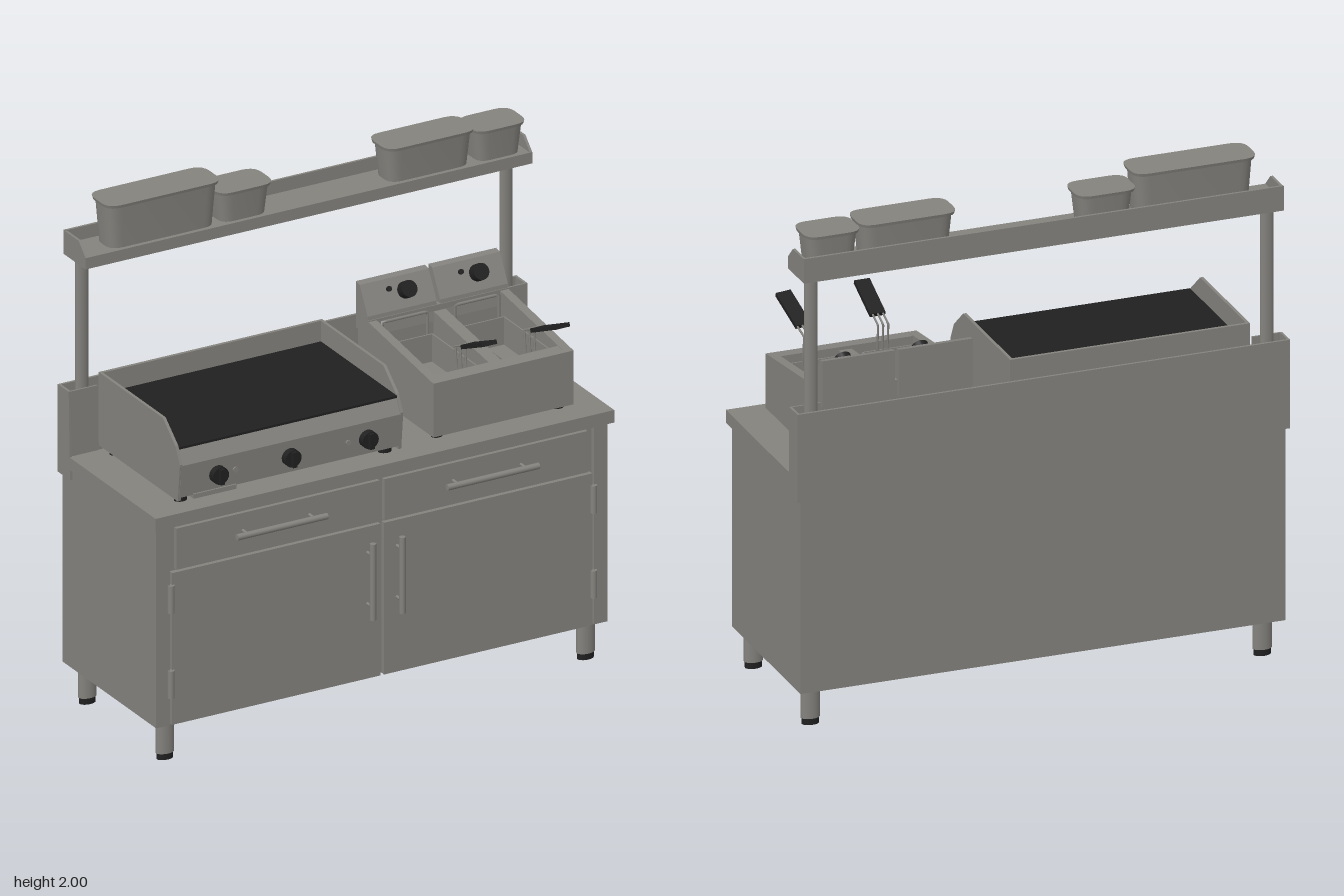
import * as THREE from 'three';
import { toCreasedNormals } from 'three/addons/utils/BufferGeometryUtils.js';

export function createModel() {
  const model = new THREE.Group();
  model.name = 'cookingStation';
  const steel = new THREE.MeshStandardMaterial({ color: 0x84827d, side: THREE.DoubleSide });
  steel.name = 'steel';
  const black = new THREE.MeshStandardMaterial({ color: 0x202020, side: THREE.DoubleSide });
  black.name = 'black';

  function add(name, geometry, material = steel) {
    const mesh = new THREE.Mesh(geometry, material);
    mesh.name = name;
    model.add(mesh);
    return mesh;
  }
  // Box given by its limits on each axis
  function box(name, x0, x1, y0, y1, z0, z1, material) {
    const g = new THREE.BoxGeometry(x1 - x0, y1 - y0, z1 - z0);
    g.translate((x0 + x1) / 2, (y0 + y1) / 2, (z0 + z1) / 2);
    return add(name, g, material);
  }
  // Side profile of [z, y] points, extruded from x0 to x1
  function profile(name, points, x0, x1, material) {
    const shape = new THREE.Shape(points.map(([z, y]) => new THREE.Vector2(z, y)));
    const g = new THREE.ExtrudeGeometry(shape, { depth: x1 - x0, bevelEnabled: false });
    g.rotateY(-Math.PI / 2).translate(x1, 0, 0);
    return add(name, g, material);
  }
  // Round bar between two points
  function rod(name, a, b, r, material, sides = 12) {
    const from = new THREE.Vector3(...a), to = new THREE.Vector3(...b);
    const dir = to.clone().sub(from);
    const mesh = add(name, new THREE.CylinderGeometry(r, r, dir.length(), sides), material);
    mesh.position.copy(from).add(to).multiplyScalar(0.5);
    mesh.quaternion.setFromUnitVectors(new THREE.Vector3(0, 1, 0), dir.normalize());
    return mesh;
  }
  // Upright oval post
  function post(name, x, z, y0, y1, rx, rz, material) {
    const g = new THREE.CylinderGeometry(1, 1, y1 - y0, 20);
    g.scale(rx, 1, rz).translate(x, (y0 + y1) / 2, z);
    return add(name, g, material);
  }

  // Cabinet and worktop
  box('cabinetBody', -0.95, 0.95, 0.15, 0.95, -0.372, 0.295);
  box('worktop', -0.965, 0.965, 0.95, 1.0, -0.3, 0.335);
  box('topRail', -0.95, 0.95, 0.938, 0.95, 0.295, 0.313);
  for (const s of [-1, 1]) {
    const span = (a, b) => (s > 0 ? [a, b] : [-b, -a]);
    box('frontStile', ...span(0.892, 0.95), 0.15, 0.938, 0.295, 0.313);
    box('drawerFront', ...span(0.01, 0.865), 0.765, 0.93, 0.295, 0.313);
    box('door', ...span(0.008, 0.884), 0.15, 0.757, 0.295, 0.315);

    // Handles with their stems
    const hx = s > 0 ? [0.25, 0.635] : [-0.635, -0.255];
    rod('drawerHandle', [hx[0], 0.86, 0.356], [hx[1], 0.86, 0.356], 0.012);
    for (const x of [hx[0] + 0.05, hx[1] - 0.05])
      rod('drawerHandleStem', [x, 0.86, 0.31], [x, 0.86, 0.356], 0.006);
    const dx = s * 0.062;
    rod('doorHandle', [dx, 0.4, 0.355], [dx, 0.705, 0.355], 0.012);
    for (const y of [0.45, 0.655])
      rod('doorHandleStem', [dx, y, 0.31], [dx, y, 0.355], 0.006);

    // Hinges
    for (const y of [0.26, 0.6]) post('hinge', s * 0.889, 0.316, y, y + 0.11, 0.013, 0.013);

    // Legs with dark feet
    for (const z of [0.263, -0.303]) {
      post('leg', s * 0.885, z, 0.025, 0.16, 0.037, 0.025);
      post('foot', s * 0.885, z, 0, 0.027, 0.033, 0.022, black);
    }

    // Backsplash ends and shelf posts
    profile('backsplashEnd', [[-0.29, 0.91], [-0.3, 1.26], [-0.375, 1.26], [-0.375, 0.91]],
      ...span(0.955, 0.965));
    box('backsplashReturn', ...span(0.845, 0.96), 1.0, 1.26, -0.305, -0.298);
    post('shelfPost', s * 0.893, -0.33, 1.0, 1.78, 0.026, 0.017);

    // Sloped ends of the shelf
    profile('shelfEnd', [[-0.22, 1.775], [-0.22, 1.82], [-0.27, 1.87], [-0.375, 1.87], [-0.375, 1.775]],
      ...span(0.93, 0.94));
  }
  box('backsplash', -0.965, 0.965, 0.91, 1.26, -0.38, -0.37);
  box('shelf', -0.94, 0.94, 1.775, 1.82, -0.375, -0.22);
  box('shelfBackLip', -0.94, 0.94, 1.775, 1.872, -0.38, -0.37);

  // Tapered food bins with lids
  function roundedSlab(w, d, h, taper) {
    const r = Math.min(0.055, w * 0.25), a = w / 2, b = d / 2;
    const s = new THREE.Shape();
    s.moveTo(-a + r, -b).lineTo(a - r, -b).quadraticCurveTo(a, -b, a, -b + r);
    s.lineTo(a, b - r).quadraticCurveTo(a, b, a - r, b);
    s.lineTo(-a + r, b).quadraticCurveTo(-a, b, -a, b - r);
    s.lineTo(-a, -b + r).quadraticCurveTo(-a, -b, -a + r, -b);
    const g = new THREE.ExtrudeGeometry(s, { depth: h, bevelEnabled: false, curveSegments: 5 });
    g.rotateX(-Math.PI / 2);
    const p = g.attributes.position;
    for (let i = 0; i < p.count; i++) {
      const t = taper * (1 - p.getY(i) / h);
      p.setX(i, p.getX(i) * (1 - t / a));
      p.setZ(i, p.getZ(i) * (1 - t / b));
    }
    return toCreasedNormals(g, 0.6);
  }
  for (const [x0, x1, top] of [[-0.845, -0.36, 2.0], [-0.375, -0.14, 1.945], [0.33, 0.712, 1.963], [0.705, 0.925, 1.948]]) {
    const x = (x0 + x1) / 2, w = x1 - x0;
    add('binBody', roundedSlab(w - 0.02, 0.142, top - 1.83, 0.012)).position.set(x, 1.82, -0.296);
    add('binLid', roundedSlab(w, 0.158, 0.012, 0.003)).position.set(x, top - 0.012, -0.296);
  }

  // Griddle: body, side walls, back wall and hot plate
  const gx0 = -0.84, gx1 = 0.1;
  profile('griddleBody', [[0.285, 1.035], [0.295, 1.165], [0.262, 1.222], [-0.29, 1.222], [-0.29, 1.025], [0.2, 1.025]],
    gx0 + 0.005, gx1 - 0.005);
  const wall = [[0.28, 1.02], [0.295, 1.17], [0.262, 1.235], [0.17, 1.312], [-0.295, 1.312], [-0.295, 1.02]];
  profile('griddleLeftWall', wall, gx1 - 0.012, gx1);
  profile('griddleRightWall', wall, gx0, gx0 + 0.012);
  box('griddleBackWall', gx0, gx1, 1.03, 1.312, -0.298, -0.285);
  box('griddlePlate', gx0 + 0.012, gx1 - 0.012, 1.221, 1.23, -0.285, 0.27, black);
  box('griddleTray', -0.78, -0.6, 1.022, 1.04, 0.1, 0.292);
  for (const x of [-0.68, -0.375, -0.05]) {
    rod('griddleKnob', [x, 1.1, 0.285], [x, 1.1, 0.318], 0.034, black, 20);
    box('griddleKnobGrip', x - 0.009, x + 0.009, 1.07, 1.13, 0.315, 0.332, black);
  }
  for (const x of [-0.605, -0.13]) rod('indicatorLamp', [x, 1.1, 0.285], [x, 1.1, 0.297], 0.011);
  for (const x of [-0.8, 0.06])
    for (const z of [0.23, -0.24]) post('griddleFoot', x, z, 1.0, 1.03, 0.026, 0.02, black);

  // Twin fryer: sloped side walls, front, back, divider and floor
  const fx0 = 0.25, fx1 = 0.84, mid = 0.55;
  const side = [[0.255, 1.02], [0.255, 1.235], [-0.295, 1.305], [-0.295, 1.02]];
  profile('fryerRightWall', side, fx0, fx0 + 0.035);
  profile('fryerLeftWall', side, fx1 - 0.035, fx1);
  profile('fryerDivider', [[0.22, 1.03], [0.22, 1.225], [-0.25, 1.28], [-0.25, 1.03]], mid - 0.025, mid + 0.025);
  profile('fryerFront', [[0.255, 1.02], [0.255, 1.235], [0.2, 1.24], [0.2, 1.02]], fx0, fx1);
  box('fryerBack', fx0, fx1, 1.02, 1.3, -0.295, -0.22);
  box('fryerFloor', fx0, fx1, 1.02, 1.09, -0.295, 0.25);
  for (const x of [fx0 + 0.04, fx1 - 0.04])
    for (const z of [0.21, -0.24]) post('fryerFoot', x, z, 1.0, 1.025, 0.022, 0.016, black);

  for (const [x0, x1, hx, lean] of [[fx0, 0.54, 0.415, 0], [0.555, fx1, 0.705, 0.02]]) {
    const cx = (x0 + x1) / 2;
    // Sloped control box with knob
    profile('controlBox', [[-0.215, 1.24], [-0.225, 1.315], [-0.283, 1.42], [-0.31, 1.425], [-0.31, 1.24]], x0, x1);
    rod('controlKnob', [cx + 0.03, 1.37, -0.258], [cx + 0.03, 1.39, -0.222], 0.032, black, 18);
    rod('controlLamp', [cx - 0.035, 1.385, -0.266], [cx - 0.035, 1.391, -0.255], 0.01, black);

    // Hanging rail and heating element
    const loop = new THREE.CurvePath();
    const pts = [[x0 + 0.05, 1.1], [x0 + 0.05, 1.29], [x1 - 0.05, 1.29], [x1 - 0.05, 1.1]]
      .map(([x, y]) => new THREE.Vector3(x, y, -0.205));
    for (let i = 0; i < 3; i++) loop.add(new THREE.LineCurve3(pts[i], pts[i + 1]));
    add('hangingRail', new THREE.TubeGeometry(loop, 36, 0.006, 6));

    // Basket, open at the top
    const bx0 = cx - 0.095, bx1 = cx + 0.095;
    box('basketFloor', bx0, bx1, 1.1, 1.105, -0.17, 0.18);
    for (const x of [bx0, bx1]) box('basketSide', x - 0.003, x + 0.003, 1.1, 1.215, -0.17, 0.18);
    for (const z of [-0.17, 0.18]) box('basketEnd', bx0, bx1, 1.1, 1.215, z - 0.003, z + 0.003);

    // Basket handle: wires and black grip
    for (const d of [-0.02, 0, 0.02]) {
      rod('handleWire', [hx + d, 1.2, 0.175], [hx + d, 1.318, 0.165], 0.004, steel, 6);
      rod('handleWire', [hx + d, 1.318, 0.165], [hx + d + lean / 3, 1.345, 0.23], 0.004, steel, 6);
    }
    const grip = add('handleGrip', new THREE.BoxGeometry(0.06, 0.016, 0.175), black);
    grip.position.set(hx + lean / 2, 1.373, 0.3);
    grip.rotation.set(-0.42, lean * 5, 0);
  }
  return model;
}
